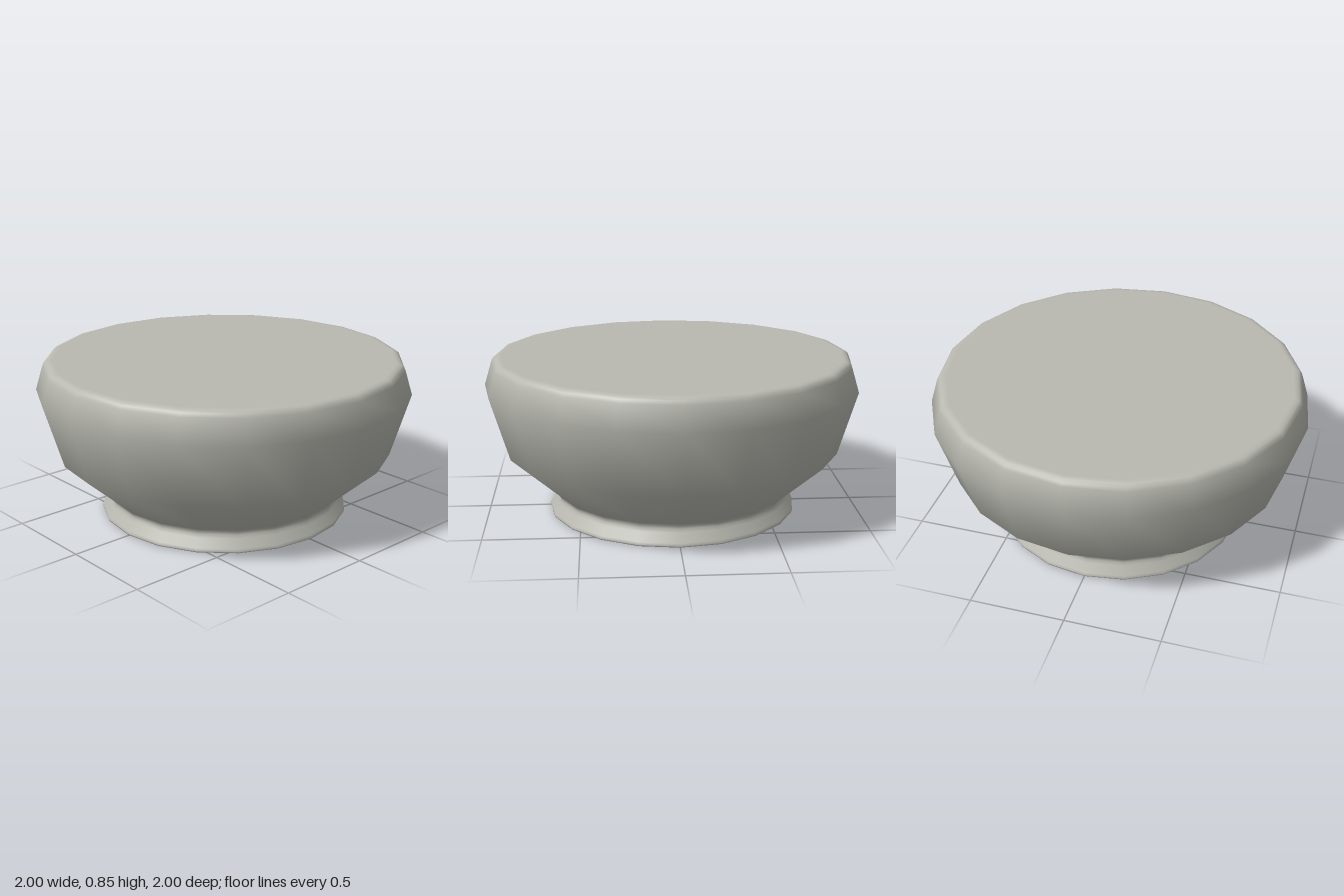
import * as THREE from 'three';

const SIDES = 20;

// Smooth-shaded turned shape from [radius, height] pairs, listed bottom to top
function turned(name, profile, material) {
  const points = profile.map(([r, y]) => new THREE.Vector2(r, y));
  const mesh = new THREE.Mesh(new THREE.LatheGeometry(points, SIDES), material);
  mesh.name = name;
  return mesh;
}

export function createModel() {
  const model = new THREE.Group();
  model.name = 'bowl';
  const stone = new THREE.MeshStandardMaterial({ color: 0xb9b9b1 });
  stone.name = 'warm grey stone';

  // One continuous skin: flat base, flared foot, rounded neck, swelling wall, bevelled rim, flat top
  model.add(turned('bowlBody', [
    [0, 0], [0.65, 0], [0.662, 0], [0.671, 0.004], [0.673, 0.012], [0.667, 0.024],
    [0.64, 0.07], [0.632, 0.087], [0.632, 0.102], [0.642, 0.118],
    [0.9, 0.35], [1, 0.69],
    [0.961, 0.817], [0.953, 0.835], [0.94, 0.846], [0.922, 0.85], [0.91, 0.85], [0, 0.85],
  ], stone));

  return model;
}
